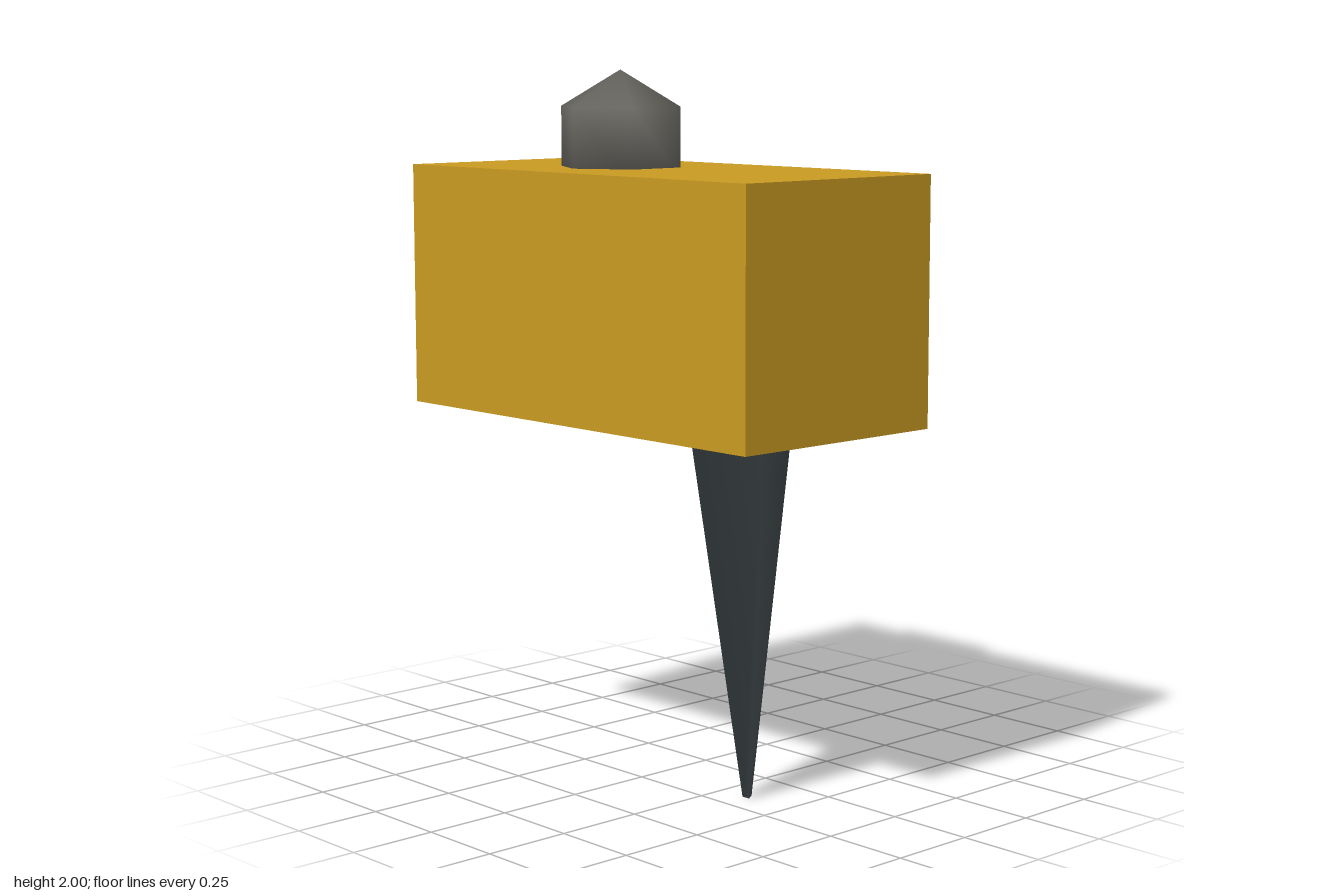
import * as THREE from 'three';

const material = (name, color) => {
  const m = new THREE.MeshStandardMaterial({ color });
  m.name = name;
  return m;
};

export function createModel() {
  const group = new THREE.Group();
  group.name = 'blockOnSpike';

  const add = (name, geometry, mat, x, y, z) => {
    const mesh = new THREE.Mesh(geometry, mat);
    mesh.name = name;
    mesh.position.set(x, y, z);
    group.add(mesh);
  };

  const ochre = material('ochre', 0xc89a22);
  const steel = material('steel grey', 0x9097a0);
  const stone = material('warm dark grey', 0x62615b);
  const iron = material('cool dark grey', 0x3b4345);

  // Main block
  add('block', new THREE.BoxGeometry(0.688, 0.69, 1.38), ochre, -0.165, 1.383, 0);

  // Six-sided knob, sunk into the top
  add('knob', new THREE.SphereGeometry(0.205, 6, 3), stone, -0.165, 1.795, -0.175);

  // Three-sided tapering spike, with one edge towards +x
  add('spike', new THREE.CylinderGeometry(0.171, 0.015, 1.045, 3, 1, false, Math.PI / 2),
    iron, -0.165, 0.5225, 0.347);

  // Floating three-sided prism beside the block, pointing to +x
  const prism = new THREE.CylinderGeometry(0.188, 0.188, 0.378, 3, 1, false, Math.PI / 2);
  prism.rotateX(Math.PI / 2);
  add('prism', prism, steel, 0.318, 1.383, -0.347);

  return group;
}
